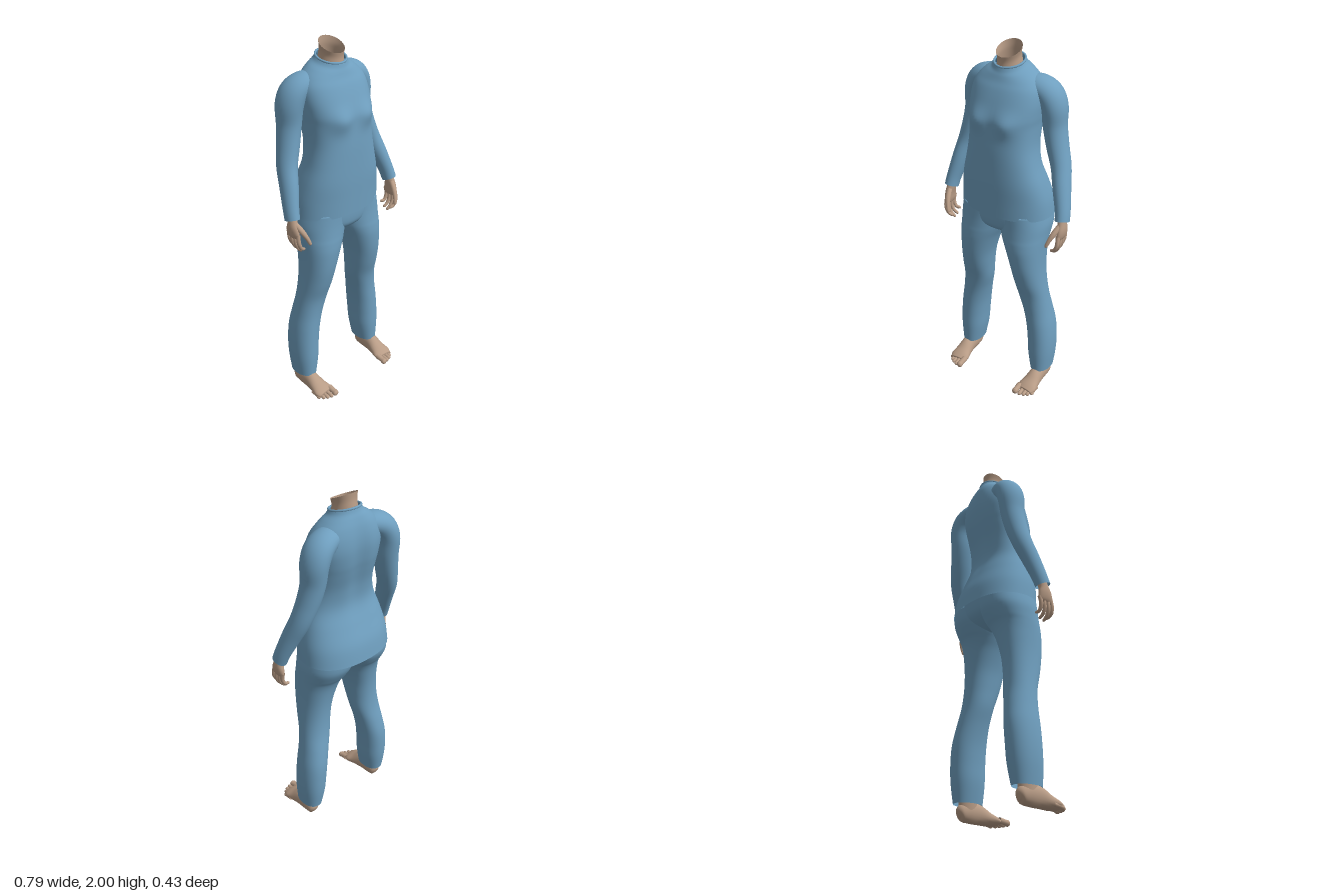
import * as THREE from 'three';

const cloth = new THREE.MeshStandardMaterial({ color: 0x6f9fbf, side: THREE.DoubleSide });
cloth.name = 'blue cloth';
const skin = new THREE.MeshStandardMaterial({ color: 0xb89c86, side: THREE.DoubleSide });
skin.name = 'skin';

const MID = -0.017; // centre line of the body

// Resample rows of numbers with a Catmull-Rom curve through every column
function smooth(rows, steps) {
  const out = [];
  const last = rows.length - 1;
  for (let i = 0; i < last; i++) {
    const [a, b, c, d] = [-1, 0, 1, 2].map(k => rows[Math.min(last, Math.max(0, i + k))]);
    for (let k = 0; k < steps; k++) {
      const t = k / steps;
      out.push(b.map((_, j) => b[j] + 0.5 * t * (c[j] - a[j]
        + t * (2 * a[j] - 5 * b[j] + 4 * c[j] - d[j] + t * (3 * (b[j] - c[j]) + d[j] - a[j])))));
    }
  }
  out.push(rows[last]);
  return out;
}

// Skin a list of closed rings, optionally closing either end
function skinRings(rings, capStart, capEnd) {
  const n = rings[0].length, pos = [], index = [];
  rings.forEach(r => r.forEach(p => pos.push(p.x, p.y, p.z)));
  for (let i = 0; i < rings.length - 1; i++) {
    for (let j = 0; j < n; j++) {
      const a = i * n + j, b = i * n + (j + 1) % n;
      index.push(a, a + n, b, b, a + n, b + n);
    }
  }
  const cap = (row, flip) => {
    const c = new THREE.Vector3();
    rings[row].forEach(p => c.addScaledVector(p, 1 / n));
    const id = pos.length / 3;
    pos.push(c.x, c.y, c.z);
    for (let j = 0; j < n; j++) {
      const a = row * n + j, b = row * n + (j + 1) % n;
      if (flip) index.push(id, b, a); else index.push(id, a, b);
    }
  };
  if (capStart) cap(0, false);
  if (capEnd) cap(rings.length - 1, true);
  const g = new THREE.BufferGeometry();
  g.setAttribute('position', new THREE.Float32BufferAttribute(pos, 3));
  g.setIndex(index);
  g.computeVertexNormals();
  return g;
}

// Upright loft, rows from bottom to top: [y, xMin, xMax, zFront, zBack, squareness, tilt]
function loft(rows, { sides = 48, steps = 5, rule, capStart, capEnd } = {}) {
  const pow = (v, n) => Math.sign(v) * Math.abs(v) ** (2 / n);
  const rings = smooth(rows, steps).map(([y, x0, x1, zf, zb, n, tilt]) => {
    const ring = [];
    for (let j = 0; j < sides; j++) {
      const a = j / sides * Math.PI * 2;
      const dz = pow(Math.sin(a), n) * (zf - zb) / 2;
      const p = new THREE.Vector3((x0 + x1) / 2 + pow(Math.cos(a), n) * (x1 - x0) / 2,
        y + tilt * dz, (zf + zb) / 2 + dz);
      if (rule) rule(p, Math.sin(a));
      ring.push(p);
    }
    return ring;
  });
  return skinRings(rings, capStart, capEnd);
}

// Tube along a path, rows: [x, y, z, radiusAcross, radiusAlongRef]
function limb(rows, { sides = 24, steps = 5, ref = [0, 0, 1], capStart, capEnd, floor } = {}) {
  const pts = smooth(rows, steps);
  const at = i => new THREE.Vector3(...pts[Math.min(pts.length - 1, Math.max(0, i))].slice(0, 3));
  const rings = pts.map((p, i) => {
    const d = at(i + 1).sub(at(i - 1)).normalize();
    const b = new THREE.Vector3(...ref);
    b.addScaledVector(d, -b.dot(d)).normalize();
    const n = d.clone().cross(b);
    return Array.from({ length: sides }, (_, j) => {
      const a = j / sides * Math.PI * 2;
      const v = at(i).addScaledVector(n, Math.cos(a) * p[3]).addScaledVector(b, Math.sin(a) * p[4]);
      if (floor !== undefined) v.y = Math.max(floor, v.y);
      return v;
    });
  });
  return skinRings(rings, capStart, capEnd);
}

export function createModel() {
  const model = new THREE.Group();
  model.name = 'clothedFigure';
  const add = (name, geometry, material) => {
    const m = new THREE.Mesh(geometry, material);
    m.name = name;
    model.add(m);
  };
  const centred = ([y, hw, zf, zb, n = 2.2, tilt = 0]) => [y, MID - hw, MID + hw, zf, zb, n, tilt];
  const bell = (v, w) => Math.exp(-((v / w) ** 2));

  // Shirt body with a full chest and a shallow groove along the spine
  add('shirtBody', loft([
    [1.105, 0.267, 0.150, -0.215, 2.3, 0.03], [1.2, 0.259, 0.152, -0.197, 2.3, 0.01],
    [1.3, 0.237, 0.154, -0.157, 2.4], [1.4, 0.208, 0.153, -0.123, 2.4],
    [1.5, 0.190, 0.150, -0.130, 2.4], [1.6, 0.190, 0.142, -0.155, 2.4],
    [1.66, 0.196, 0.136, -0.168, 2.4], [1.73, 0.200, 0.113, -0.174, 2.4],
    [1.79, 0.192, 0.088, -0.170, 2.3], [1.835, 0.165, 0.068, -0.158, 2.2, -0.08],
    [1.868, 0.128, 0.056, -0.142, 2.1, -0.16], [1.89, 0.094, 0.047, -0.128, 2, -0.22],
    [1.912, 0.079, 0.040, -0.119, 2, -0.25],
  ].map(centred), {
    sides: 72,
    rule: (p, s) => {
      const u = Math.abs(p.x - MID);
      if (s > 0) p.z += 0.024 * s * bell(u - 0.095, 0.065) * bell(p.y - 1.63, 0.055);
      else p.z -= 0.02 * s * bell(u, 0.05) * bell(p.y - 1.62, 0.2);
    },
  }), cloth);

  // Folded collar edge
  const collar = new THREE.TorusGeometry(0.079, 0.006, 10, 48);
  collar.rotateX(Math.PI / 2 + 0.245);
  collar.translate(MID, 1.91, -0.04);
  add('collar', collar, cloth);

  // Open neck with a sloping rim
  add('neck', loft([
    [1.85, 0.072, 0.035, -0.115, 2, -0.2], [1.91, 0.062, 0.028, -0.105, 2, -0.28],
    [1.94, 0.06, 0.027, -0.1, 2, -0.38], [1.969, 0.066, 0.031, -0.1, 2, -0.46],
  ].map(centred)), skin);

  // Trouser seat joining both legs
  add('trouserSeat', loft([
    [0.985, 0.03, 0.04, -0.05], [1.0, 0.1, 0.09, -0.095], [1.03, 0.19, 0.122, -0.145],
    [1.07, 0.25, 0.132, -0.175], [1.14, 0.252, 0.135, -0.19],
  ].map(centred), { capStart: true, capEnd: true }), cloth);

  for (const s of [1, -1]) {
    const side = s > 0 ? 'left' : 'right';

    // Trouser leg: [y, inner, outer, zFront, zBack]
    add(side + 'TrouserLeg', loft([
      [0.092, 0.188, 0.304, 0.062, -0.102], [0.2, 0.169, 0.314, 0.067, -0.119],
      [0.3, 0.161, 0.314, 0.066, -0.125], [0.4, 0.150, 0.305, 0.065, -0.124],
      [0.5, 0.130, 0.288, 0.066, -0.109], [0.6, 0.104, 0.273, 0.078, -0.091],
      [0.7, 0.090, 0.262, 0.108, -0.085], [0.8, 0.074, 0.256, 0.130, -0.090],
      [0.9, 0.044, 0.256, 0.140, -0.106], [0.96, 0.018, 0.258, 0.139, -0.125],
      [1.0, 0.0, 0.260, 0.135, -0.150], [1.06, -0.02, 0.262, 0.131, -0.180],
      [1.13, -0.03, 0.252, 0.130, -0.188],
    ].map(([y, i, o, f, b]) => {
      const xs = [MID + s * i, MID + s * o].sort((p, q) => p - q);
      return [y, ...xs, f, b, 2.2, 0];
    }), { capEnd: true }), cloth);

    // Sleeve from inside the shoulder to the open cuff; the arms hang a little unevenly
    const armX = (u, y) => s * u + MID * Math.min(1, Math.max(0, (y - 1.17) / 0.4));
    const hang = ([u, y, ...rest]) => [armX(u, y), y, ...rest];
    add(side + 'Sleeve', limb([
      [0.07, 1.80, -0.065, 0.045, 0.06], [0.145, 1.797, -0.075, 0.060, 0.074],
      [0.203, 1.765, -0.085, 0.067, 0.081], [0.234, 1.70, -0.09, 0.066, 0.080],
      [0.243, 1.6, -0.088, 0.061, 0.069], [0.265, 1.5, -0.077, 0.057, 0.064],
      [0.296, 1.4, -0.058, 0.051, 0.059], [0.323, 1.3, -0.02, 0.046, 0.053],
      [0.349, 1.2, 0.015, 0.039, 0.046], [0.358, 1.145, 0.033, 0.037, 0.044],
    ].map(hang), { sides: 32, capStart: true }), cloth);

    // Palm, four curled fingers and a thumb
    add(side + 'Palm', limb([
      [0.35, 1.2, 0.015, 0.023, 0.028], [0.359, 1.14, 0.034, 0.023, 0.029],
      [0.364, 1.1, 0.04, 0.022, 0.04], [0.362, 1.065, 0.042, 0.018, 0.044],
      [0.358, 1.045, 0.042, 0.009, 0.036],
    ].map(hang), { capEnd: true }), skin);
    [[0.078, 0.975], [0.054, 0.957], [0.029, 0.965], [0.006, 0.99]].forEach(([z, tip], i) => {
      const mid = (1.06 + tip) / 2;
      add(side + 'Finger' + (i + 1), limb([
        [s * 0.362, 1.075, z, 0.011, 0.012], [s * 0.363, mid + 0.01, z + 0.008, 0.011, 0.011],
        [s * 0.348, mid - 0.025, z + 0.008, 0.0095, 0.0095],
        [s * 0.328, tip + 0.006, z + 0.004, 0.008, 0.008], [s * 0.324, tip, z + 0.003, 0.003, 0.003],
      ], { sides: 12, steps: 4, capEnd: true }), skin);
    });
    add(side + 'Thumb', limb([
      [s * 0.357, 1.125, 0.055, 0.015, 0.015], [s * 0.343, 1.09, 0.09, 0.015, 0.014],
      [s * 0.329, 1.055, 0.112, 0.011, 0.011], [s * 0.319, 1.025, 0.122, 0.009, 0.009],
      [s * 0.317, 1.019, 0.123, 0.003, 0.003],
    ], { sides: 12, steps: 4, capEnd: true }), skin);

    // Ankle, foot and toes
    const stand = ([u, ...rest]) => [MID + s * u, ...rest];
    add(side + 'Ankle', limb([
      [0.25, 0.04, -0.015, 0.036, 0.055], [0.248, 0.1, -0.018, 0.038, 0.053],
      [0.246, 0.2, -0.025, 0.042, 0.052],
    ].map(stand), { capStart: true, capEnd: true }), skin);
    add(side + 'Foot', limb([
      [0.25, 0.04, -0.076, 0.016, 0.014], [0.25, 0.045, -0.062, 0.042, 0.033],
      [0.25, 0.053, -0.02, 0.056, 0.038], [0.25, 0.05, 0.04, 0.056, 0.040],
      [0.248, 0.034, 0.1, 0.038, 0.049], [0.246, 0.025, 0.14, 0.026, 0.057],
      [0.244, 0.019, 0.168, 0.015, 0.046],
    ].map(stand), { ref: [1, 0, 0], capStart: true, capEnd: true, floor: 0.002 }), skin);
    [[0.203, 0.216, 0.018], [0.232, 0.211, 0.012], [0.255, 0.203, 0.0115],
      [0.274, 0.19, 0.011], [0.291, 0.17, 0.011]].forEach(([u, tip, r], i) => {
      add(side + 'Toe' + (i + 1), limb([
        [u, r + 0.009, tip - 0.065, r, r], [u, r + 0.004, tip - 0.03, r * 0.85, r * 0.9],
        [u, r, tip - 0.012, r, r], [u, r, tip - 0.003, r * 0.65, r * 0.7],
        [u, r, tip, r * 0.2, r * 0.2],
      ].map(stand), { sides: 12, steps: 4, ref: [1, 0, 0], capEnd: true, floor: 0 }), skin);
    });
  }
  return model;
}
